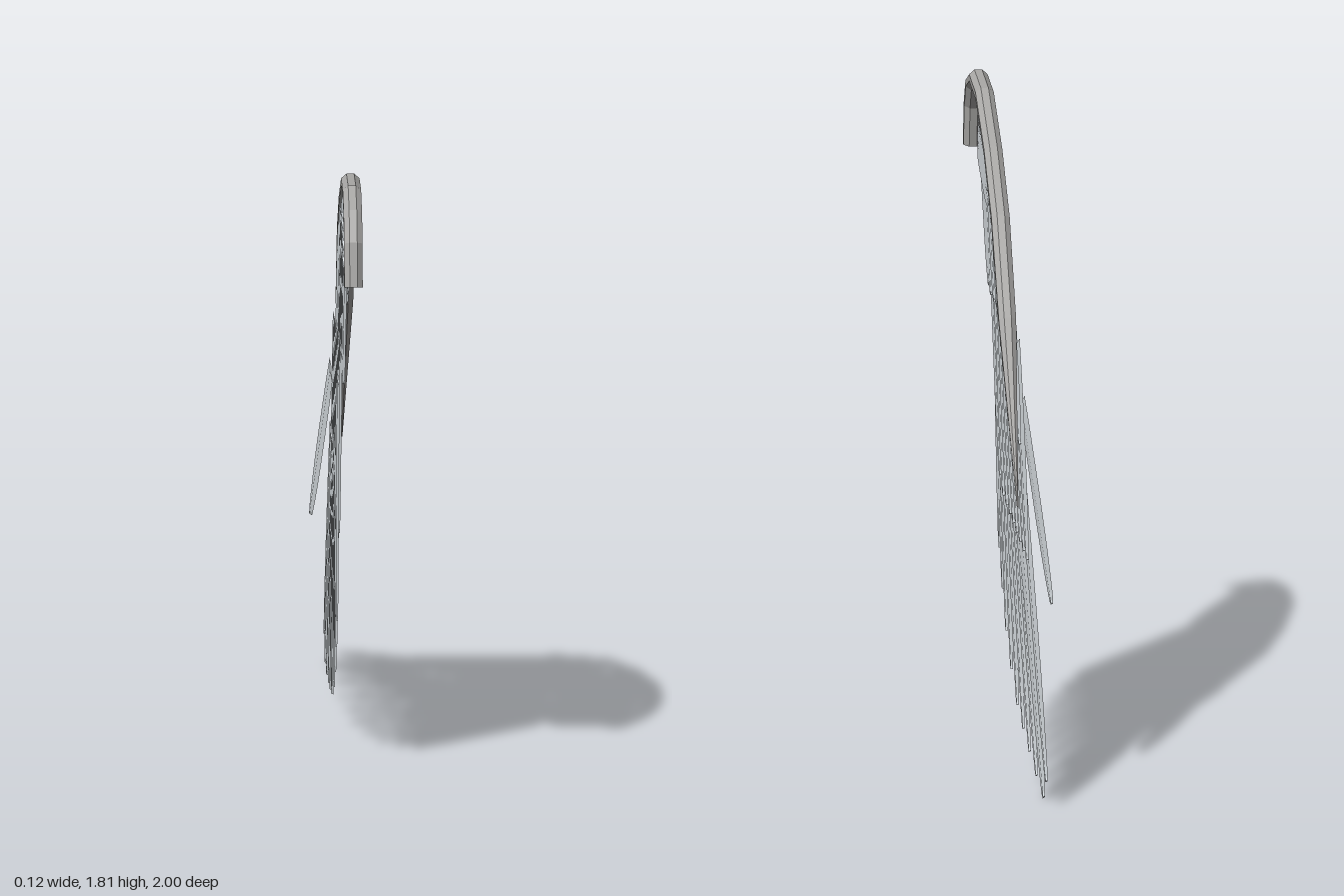
import * as THREE from 'three';

const featherMat = new THREE.MeshStandardMaterial({ color: 0xd8dee2, flatShading: true });
const boneMat = new THREE.MeshStandardMaterial({ color: 0xa9a8a6, flatShading: true });

// Closed skin over a list of equal-sized rings, capped at both ends
function loft(rings) {
  const n = rings[0].length, index = [];
  rings.forEach((_, i) => {
    if (i === rings.length - 1) return;
    for (let j = 0; j < n; j++) {
      const k = (j + 1) % n, a = i * n + j, b = i * n + k;
      index.push(a, b, a + n, b, b + n, a + n);
    }
  });
  const e = (rings.length - 1) * n;
  for (let j = 1; j < n - 1; j++) index.push(0, j + 1, j, e, e + j, e + j + 1);
  const g = new THREE.BufferGeometry();
  g.setAttribute('position', new THREE.Float32BufferAttribute(rings.flat(2), 3));
  g.setIndex(index);
  g.computeVertexNormals();
  return g;
}

// Ring around (x, y, z), square to the in-plane direction (tz, ty)
function ring(x, z, y, tz, ty, thick, width, sides, tilt = 0, turn = 0) {
  const len = Math.hypot(tz, ty), pts = [];
  for (let j = 0; j < sides; j++) {
    const a = (j / sides) * Math.PI * 2 + turn, c = Math.cos(a), s = Math.sin(a);
    pts.push([x + thick * c + tilt * s, y + (width * s * tz) / len, z - (width * s * ty) / len]);
  }
  return pts;
}

// Feather outline: [position along the shaft, share of full width]
const outline = [[0, 0.8], [0.15, 0.95], [0.35, 1], [0.55, 1], [0.72, 0.9],
  [0.84, 0.72], [0.93, 0.52], [0.975, 0.36], [1, 0.1]];

// Thin ridged blade from root to tip, both given as [z, y]
function feather(name, root, tip, width, x0, x1, bend) {
  const dz = tip[0] - root[0], dy = tip[1] - root[1];
  const curve = new THREE.QuadraticBezierCurve(
    new THREE.Vector2(...root),
    new THREE.Vector2((root[0] + tip[0]) / 2 - dy * bend, (root[1] + tip[1]) / 2 + dz * bend),
    new THREE.Vector2(...tip));
  const rings = outline.map(([t, w]) => {
    const p = curve.getPoint(t), d = curve.getTangent(t);
    return ring(x0 + (x1 - x0) * t, p.x, p.y, d.x, d.y, 0.003, (width * w) / 2, 4, 0.003);
  });
  const mesh = new THREE.Mesh(loft(rings), featherMat);
  mesh.name = name;
  return mesh;
}

// Row of overlapping coverts in one layer of the wing
function covertRow(name, roots, tips, width, x, bend) {
  const row = new THREE.Group();
  row.name = name + 's';
  roots.forEach((r, i) => row.add(feather(name, r, tips[i], width, x, x, bend)));
  return row;
}

export function createModel() {
  const wing = new THREE.Group();
  wing.name = 'wing';

  // Leading edge: faceted bar tapering to a point, [z, y, scale]
  const path = [[0.977, 1.545, 1], [0.95, 1.668, 1], [0.898, 1.741, 1], [0.785, 1.782, 1],
    [0.585, 1.772, 1], [0.31, 1.66, 1], [0.078, 1.512, 1], [-0.142, 1.258, 0.95], [-0.475, 0.775, 0.08]];
  const bar = path.map(([z, y, s], i) => {
    const a = path[Math.max(i - 1, 0)], b = path[Math.min(i + 1, path.length - 1)];
    return ring(0.028, z, y, b[0] - a[0], b[1] - a[1], 0.029 * s, 0.025 * s, 8, 0, Math.PI / 8);
  });
  const bone = new THREE.Mesh(loft(bar), boneMat);
  bone.name = 'leadingEdge';
  wing.add(bone);

  // Long flight feathers: root z, root y, tip z, tip y, width
  const flightX = -0.009;
  const flight = new THREE.Group();
  flight.name = 'flightFeathers';
  [[0.655, 1.2, 0.5, 0.445, 0.13], [0.59, 1.15, 0.4, 0.345, 0.105], [0.53, 1.08, 0.28, 0.245, 0.105],
    [0.445, 1.0, 0.12, 0.165, 0.105], [0.36, 0.95, -0.07, 0.1, 0.105], [0.29, 0.93, -0.26, 0.07, 0.1],
    [0.2, 0.9, -0.46, 0.045, 0.1], [0.11, 0.87, -0.68, 0.02, 0.1], [0, 0.83, -0.91, 0.005, 0.15],
    [-0.2, 0.85, -0.995, 0.07, 0.115]
  ].forEach(([rz, ry, tz, ty, w], i) =>
    flight.add(feather('flightFeather', [rz, ry], [tz, ty], w, flightX, flightX, i < 1 ? -0.06 : -0.01)));
  wing.add(flight);

  // Middle coverts
  const midRoots = [], midTips = [];
  for (let i = 0; i < 9; i++) {
    const t = i / 8;
    midRoots.push([0.67 - 0.82 * t, 1.29 - 0.1 * t]);
    midTips.push([0.395 - 0.86 * t, (i ? 0.65 : 0.685) - 0.035 * t]);
  }
  wing.add(covertRow('middleCovert', midRoots, midTips, 0.118, -0.001, -0.03));

  // Outermost covert, splayed away from the wing
  wing.add(feather('splayedFeather', [-0.22, 1.03], [-0.61, 0.515], 0.12, flightX, -0.06, 0));

  // Upper coverts
  wing.add(covertRow('upperCovert',
    [[0.905, 1.55], [0.82, 1.54], [0.72, 1.56], [0.62, 1.6], [0.52, 1.64], [0.42, 1.64], [0.32, 1.61],
      [0.23, 1.56], [0.14, 1.49], [0.07, 1.4], [0, 1.3]],
    [[0.665, 1.19], [0.6, 1.175], [0.5, 1.175], [0.4, 1.175], [0.295, 1.165], [0.195, 1.155], [0.1, 1.145],
      [0, 1.13], [-0.1, 1.07], [-0.205, 1.0], [-0.305, 0.925]], 0.122, 0.006, -0.04));

  // Small coverts fanning out at the shoulder
  wing.add(covertRow('shoulderCovert',
    [[0.945, 1.55], [0.94, 1.6], [0.92, 1.66], [0.87, 1.7], [0.79, 1.73], [0.69, 1.73], [0.58, 1.71], [0.46, 1.655]],
    [[0.61, 1.445], [0.59, 1.49], [0.6, 1.53], [0.55, 1.565], [0.48, 1.575], [0.4, 1.585], [0.32, 1.59], [0.25, 1.57]],
    0.105, 0.012, -0.03));

  return wing;
}
